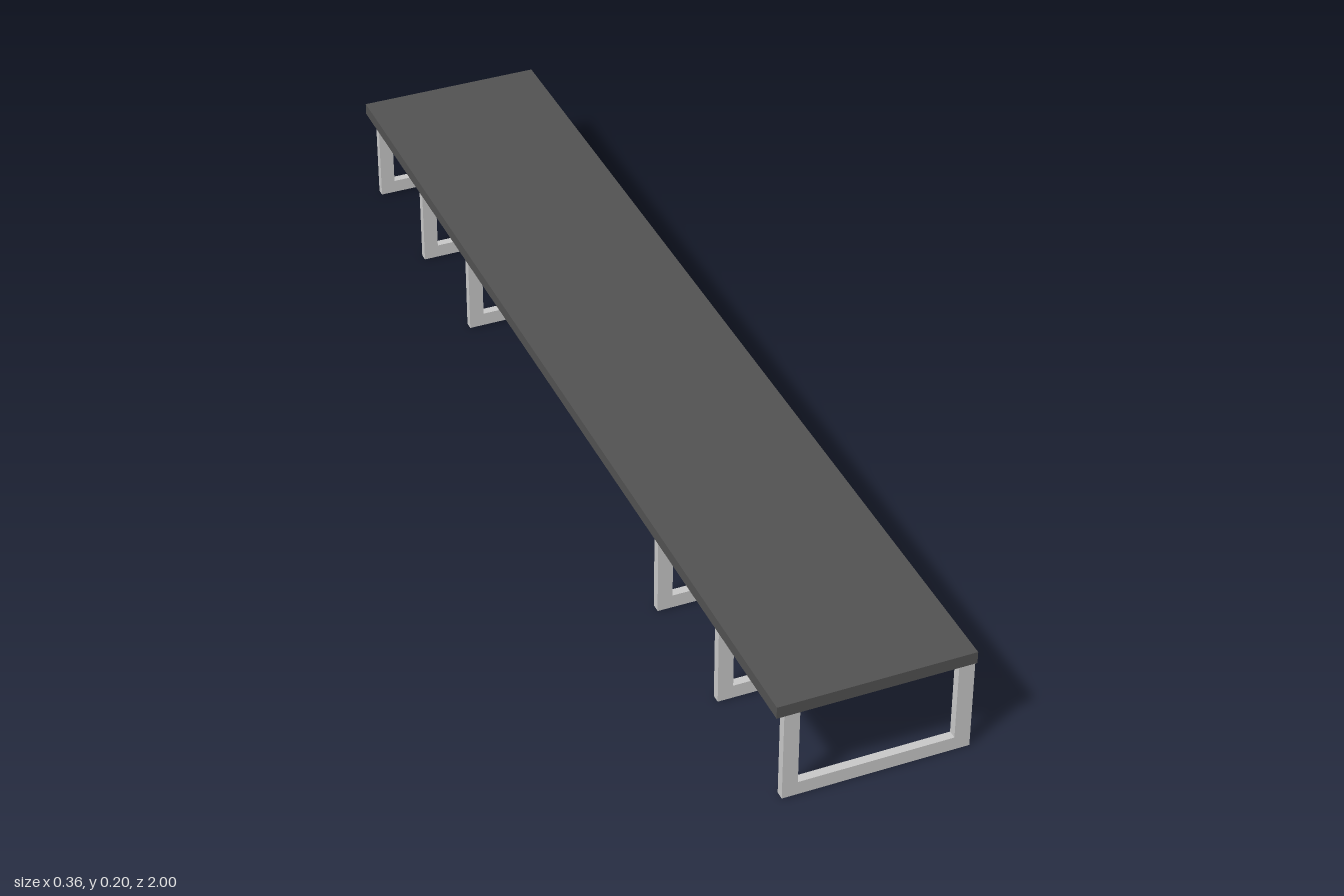
import * as THREE from 'three';

export function createModel() {
  const model = new THREE.Group();
  const darkGrey = new THREE.MeshStandardMaterial({ color: 0x525252 });
  darkGrey.name = 'darkGrey';
  const lightGrey = new THREE.MeshStandardMaterial({ color: 0xc8c8c8 });
  lightGrey.name = 'lightGrey';

  // Long flat top
  const top = new THREE.Mesh(new THREE.BoxGeometry(0.357, 0.023, 2), darkGrey);
  top.name = 'benchTop';
  top.position.set(0, 0.1925, 0);
  model.add(top);

  // U-shaped leg frame, flush with the top's +x edge
  const depth = 0.016;
  const outline = [
    [-0.162, 0], [0.178, 0], [0.178, 0.181], [0.149, 0.181],
    [0.149, 0.026], [-0.134, 0.026], [-0.134, 0.181], [-0.162, 0.181],
  ].map(([x, y]) => new THREE.Vector2(x, y));
  const frameGeometry = new THREE.ExtrudeGeometry(new THREE.Shape(outline), {
    depth, bevelEnabled: false,
  });
  frameGeometry.translate(0, 0, -depth / 2);

  // Three frames towards each end
  const spacing = 0.259;
  for (const [name, start, step] of [['front', 0.986, -spacing], ['back', -0.982, spacing]]) {
    for (let i = 0; i < 3; i++) {
      const frame = new THREE.Mesh(frameGeometry, lightGrey);
      frame.name = `${name}LegFrame${i + 1}`;
      frame.position.z = start + i * step;
      model.add(frame);
    }
  }
  return model;
}
